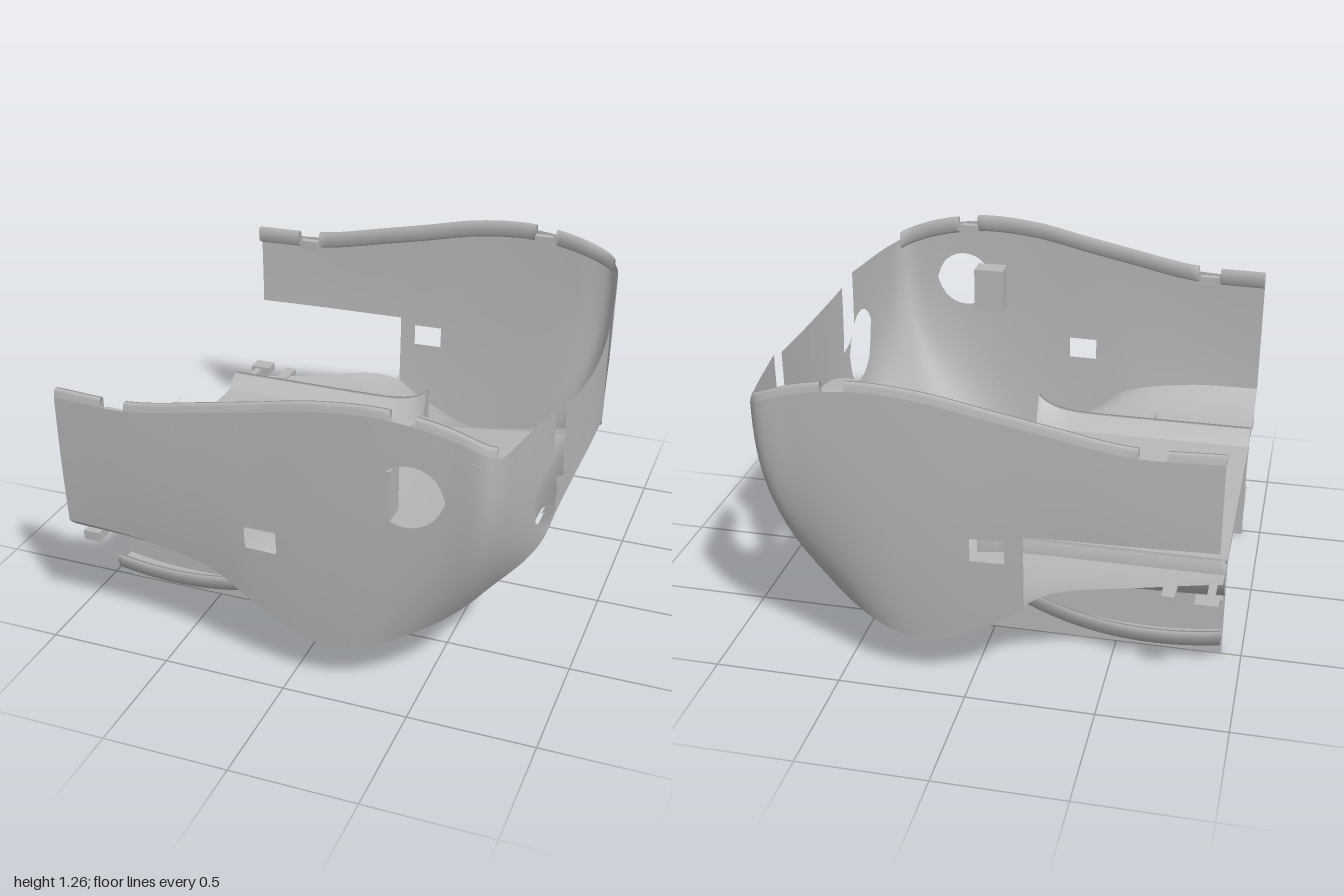
import * as THREE from 'three';

const V = (x, y, z) => new THREE.Vector3(x, y, z);
const lerp = THREE.MathUtils.lerp;
const mat = new THREE.MeshStandardMaterial({ color: 0xb8b8b8, side: THREE.DoubleSide });
mat.name = 'plainGrey';

// Half outline, from the open end round the corner to the middle of the end wall
const topRim = new THREE.CatmullRomCurve3([
  V(-0.92, 1.07, 0.945), V(-0.6, 1.075, 0.965), V(-0.3, 1.13, 0.975), V(-0.1, 1.17, 0.98),
  V(0.15, 1.22, 0.988), V(0.4, 1.235, 0.988), V(0.62, 1.2, 0.98), V(0.76, 1.15, 0.965),
  V(0.8, 1.13, 0.92), V(0.83, 1.13, 0.78), V(0.86, 1.125, 0.6), V(0.885, 1.12, 0.43),
  V(0.905, 1.1, 0.2), V(0.912, 1.1, 0)]);
const lowRim = new THREE.CatmullRomCurve3([
  V(-0.92, 0.53, 0.93), V(-0.6, 0.515, 0.94), V(-0.3, 0.45, 0.945), V(-0.1, 0.32, 0.95),
  V(0.12, 0.22, 0.945), V(0.3, 0.23, 0.93), V(0.48, 0.3, 0.87), V(0.62, 0.37, 0.78),
  V(0.72, 0.44, 0.67), V(0.82, 0.52, 0.57), V(0.86, 0.57, 0.5), V(0.885, 0.65, 0.38),
  V(0.908, 0.715, 0.19), V(0.915, 0.73, 0)]);
// How sharply the floor turns in from the lower rim
const bend = [5, 5, 4, 2, 1.2, 1.1, 1.1, 1.1, 1.2, 1.4, 1.5, 1.6, 1.6, 1.6];

// Point on the wall at outline position u and height y
function wallAt(u, y) {
  const a = topRim.getPoint(u), b = lowRim.getPoint(u);
  const t = THREE.MathUtils.clamp((a.y - y) / (a.y - b.y), 0, 1);
  const k = Math.pow(t, 2.5);
  return V(lerp(a.x, b.x, k), y, lerp(a.z, b.z, k));
}

// Outline position where the wall passes a given x (side) or z (end)
function findU(axis, value) {
  let [lo, hi] = axis === 'x' ? [0, 0.6] : [0.55, 1];
  for (let i = 0; i < 40; i++) {
    const m = (lo + hi) / 2;
    const c = wallAt(m, 0.85)[axis];
    if (axis === 'x' ? c < value : c > value) lo = m; else hi = m;
  }
  return (lo + hi) / 2;
}

const floorY = x => 0.43 + 0.05 * THREE.MathUtils.smoothstep(x, 0.05, 0.65);

// Grid surface from a rule; side = -1 mirrors it
function grid(nu, nv, fn, side = 1, skip = null) {
  const pos = [], idx = [];
  for (let i = 0; i <= nu; i++) for (let j = 0; j <= nv; j++) {
    const p = fn(i / nu, j / nv);
    pos.push(p.x, p.y, p.z * side);
  }
  for (let i = 0; i < nu; i++) for (let j = 0; j < nv; j++) {
    if (skip && skip(fn((i + 0.5) / nu, (j + 0.5) / nv))) continue;
    const a = i * (nv + 1) + j, b = a + 1, c = a + nv + 1, d = c + 1;
    if (side > 0) idx.push(a, b, c, b, d, c); else idx.push(a, c, b, b, c, d);
  }
  const g = new THREE.BufferGeometry();
  g.setAttribute('position', new THREE.Float32BufferAttribute(pos, 3));
  g.setIndex(idx);
  g.computeVertexNormals();
  return g;
}

export function createModel() {
  const root = new THREE.Group();
  root.name = 'bodyShell';
  const add = (name, geo) => {
    const m = new THREE.Mesh(geo, mat);
    m.name = name;
    root.add(m);
    return m;
  };
  const box = (name, x0, x1, y0, y1, z0, z1) =>
    add(name, new THREE.BoxGeometry(x1 - x0, y1 - y0, Math.abs(z1 - z0)))
      .position.set((x0 + x1) / 2, (y0 + y1) / 2, (z0 + z1) / 2);

  for (const s of [1, -1]) {
    const tag = s > 0 ? 'Front' : 'Back';
    const rim = u => topRim.getPoint(u).y, low = u => lowRim.getPoint(u).y;
    const wall = (name, u0, u1, top, bottom) => add(name + tag, grid(
      Math.max(8, Math.round((u1 - u0) * 130)), 14, (a, b) => {
        const u = lerp(u0, u1, a);
        return wallAt(u, lerp(top(u), bottom(u), b));
      }, s));
    const X = v => findU('x', v), Z = v => findU('z', v);

    // Side wall with the square opening; the back wall is cut short
    if (s > 0) wall('sideWall', 0, X(-0.15), rim, low);
    else {
      wall('cutSideWall', 0, X(-0.22), rim, () => 0.72);
      wall('sideWall', X(-0.22), X(-0.15), rim, low);
    }
    wall('wallAboveSquare', X(-0.15), X(-0.02), rim, () => 0.69);
    wall('wallBelowSquare', X(-0.15), X(-0.02), () => 0.595, low);

    // Round opening, front side only
    const c0 = X(0.365), c1 = X(0.615);
    const dip = u => {
      const d = (wallAt(u, 0.945).x - 0.49) / 0.125;
      return 0.125 * Math.sqrt(Math.max(0, 1 - d * d));
    };
    if (s > 0) {
      wall('wallMid', X(-0.02), c0, rim, low);
      wall('wallAboveRound', c0, c1, rim, u => 0.945 + dip(u));
      wall('wallBelowRound', c0, c1, u => 0.945 - dip(u), low);
      wall('corner', c1, Z(0.63), rim, low);
    } else wall('wallAndCorner', X(-0.02), Z(0.63), rim, low);

    // End wall with oval openings, slots and the centre panel
    const oval = sign => u => {
      const d = (wallAt(u, 0.78).z - 0.525) / 0.105;
      return 0.76 + sign * 0.16 * Math.sqrt(Math.max(0, 1 - d * d));
    };
    wall('endAboveOval', Z(0.63), Z(0.465), rim, oval(1));
    wall('endSlotEdge', Z(0.465), Z(0.42),
      u => Math.max(0.81 + (wallAt(u, 0.8).z - 0.42) * 1.6, oval(1)(u)), oval(1));
    wall('endBelowOval', Z(0.63), Z(0.42), oval(-1), low);
    wall('endSlotBase', Z(0.42), Z(0.36), u => 0.785 + (wallAt(u, 0.8).z - 0.36) * 0.4, low);
    wall('centrePanel', Z(0.36), 1, u => 1.06 + 0.2 * wallAt(u, 1).z ** 2, low);

    // Curved floor from the lower rim to the flat middle, with a slit near the end
    add('curvedFloor' + tag, grid(150, 18, (a, b) => {
      const r = lowRim.getPoint(a);
      const fx = Math.min(r.x, 0.65), fz = Math.min(r.z, 0.5);
      let t0 = 0;
      if (s < 0 && r.x < -0.22) {
        const cut = 0.67 + 0.26 * Math.pow(Math.max(0, (r.x + 0.92) / 0.7), 1.15);
        t0 = Math.max(0, (r.z - cut) / (r.z - 0.5));
      }
      const t = lerp(t0, 1, b), i = Math.min(12, Math.floor(a * 13));
      const p = lerp(bend[i], bend[i + 1], a * 13 - i);
      return V(lerp(r.x, fx, t), lerp(r.y, floorY(fx), 1 - Math.pow(1 - t, p)), lerp(r.z, fz, t));
    }, s, p => p.x > 0.8 && p.x < 0.818 && p.z > 0.29 && p.z < 0.4));

    // Raised lip along the rim, in three lengths
    const lip = [[0, -0.03], [0.005, 0.022], [0.015, 0.032], [0.032, 0.028], [0.035, -0.03], [0, -0.05]];
    for (const [x0, x1] of [[-0.92, -0.72], [-0.62, 0.41], [0.5, 0.775]])
      add('rimLip' + tag, grid(30, 5, (a, b) => {
        const u = lerp(X(x0), X(x1), a), p = topRim.getPoint(u), [d, h] = lip[Math.round(b * 5)];
        return V(p.x, p.y + h, p.z - d);
      }, s).toNonIndexed());
    for (const x of [-0.67, 0.455]) {
      const p = topRim.getPoint(X(x));
      box('rimClip', x - 0.04, x + 0.04, p.y - 0.05, p.y - 0.01, s * (p.z - 0.035), s * (p.z - 0.005));
    }

    // Floor rail with a sloping inner face, rising to a fin at its end
    add('floorRail' + tag, grid(40, 3, (a, b) => {
      const x = lerp(-0.92, 0.045, a), h = 0.055 + 0.07 * Math.pow(a, 14);
      const [z, y] = [[0.51, 0], [0.575, h], [0.6, h], [0.6, -0.02]][Math.round(b * 3)];
      return V(x, 0.43 + y, z);
    }, s).toNonIndexed());
    box('railTab', -0.13, -0.05, 0.44, 0.48, s * 0.6, s * 0.625);

    // Hanging plate, panel under the floor and curved ledge
    box('hangingPlate', -0.92, 0.05, 0.01, 0.41, s * 0.468, s * 0.498);
    add('underPanel' + tag, grid(20, 6, (a, b) => V(lerp(-0.92, -0.03, a),
      lerp(0.42, 0.275 - 0.06 * a * (1 - a), b), 0.57 - 0.075 * b * b), s));
    const ledge = (z, y) => a => V(lerp(-0.92, -0.03, a),
      0.155 - 0.165 * a + 0.25 * a * a + y, lerp(0.498, 0.61 - 0.1 * a ** 3, z));
    const rows = [ledge(0, -0.05), ledge(0.85, -0.045), ledge(1, 0), ledge(1, 0.025), ledge(0.9, 0.025),
      ledge(0.85, -0.02), ledge(0, -0.03)];
    add('ledge' + tag, grid(30, 6, (a, b) => rows[Math.round(b * 6)](a), s));
    for (const x of [-0.89, -0.45, -0.1]) box('underTab', x - 0.025, x + 0.025, 0.25, 0.275, s * 0.49, s * 0.53);
  }

  // Flat middle of the floor and its thick open half
  add('middleFloor', grid(30, 4, (a, b) => {
    const x = lerp(-0.92, 0.65, a);
    return V(x, floorY(x), lerp(-0.5, 0.5, b));
  }));
  box('floorSlab', -0.92, 0.05, 0.4, 0.429, -0.5, 0.5);

  // Block beside the round opening, and small brackets
  box('block', 0.285, 0.42, 0.83, 1.03, 0.88, 0.975);
  box('bracket', -0.92, -0.83, 0.4, 0.44, -0.84, -0.77);
  box('bracketArm', -0.9, -0.87, 0.41, 0.43, -0.78, -0.64);
  box('bracket', -0.755, -0.705, 0.41, 0.44, -0.81, -0.69);
  box('frontTab', -0.92, -0.85, 0.39, 0.43, 0.77, 0.84);
  box('floorTab', -0.48, -0.45, 0.42, 0.46, 0.625, 0.72);
  return root;
}
